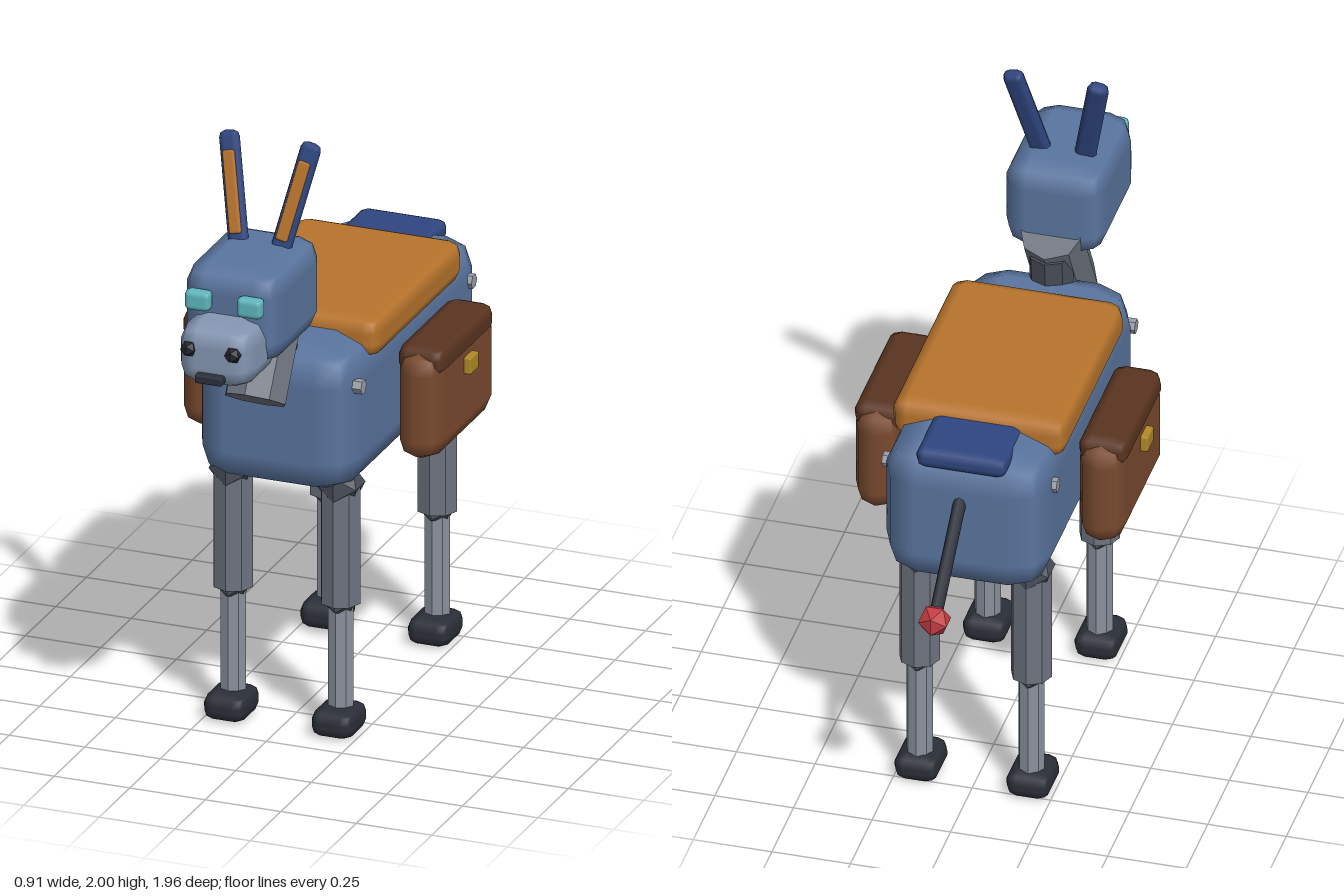
import * as THREE from 'three';
import { RoundedBoxGeometry } from 'three/addons/geometries/RoundedBoxGeometry.js';

const mat = (color, flat = false) => new THREE.MeshStandardMaterial({ color, flatShading: flat });
const M = {
  blue: mat(0x5a759f), muzzle: mat(0x8597b3), navy: mat(0x2f4680), orange: mat(0xb8742c),
  brown: mat(0x7a4a2e), darkBrown: mat(0x5a3420), gold: mat(0xb08a28), teal: mat(0x5fb8bf),
  steel: mat(0x6e7480, true), lightSteel: mat(0x8b929e, true), darkSteel: mat(0x4a4f5a, true),
  black: mat(0x2b2f38), coal: mat(0x23262d, true), bolt: mat(0x9aa0aa, true), red: mat(0xc23b40, true),
};

export function createModel() {
  const model = new THREE.Group();
  model.name = 'robotDonkey';

  const add = (name, geometry, material, pos, parent = model) => {
    const mesh = new THREE.Mesh(geometry, material);
    mesh.name = name;
    mesh.position.set(...pos);
    parent.add(mesh);
    return mesh;
  };
  const box = (name, size, r, material, pos, parent) =>
    add(name, new RoundedBoxGeometry(...size, 1, r), material, pos, parent);
  const rod = (name, r, h, material, pos, parent, sides = 8) =>
    add(name, new THREE.CylinderGeometry(r, r, h, sides), material, pos, parent);
  const ball = (name, r, material, pos, parent) =>
    add(name, new THREE.IcosahedronGeometry(r, 0), material, pos, parent);

  // Torso, blanket and rump pad
  box('body', [0.53, 0.49, 1.14], 0.12, M.blue, [0, 1.062, -0.08]);
  box('blanket', [0.555, 0.137, 0.735], 0.05, M.orange, [0, 1.285, -0.083]);
  box('rumpPad', [0.29, 0.07, 0.23], 0.03, M.navy, [0, 1.287, -0.53]);

  // Neck leaning back, with a darker core beneath it
  rod('neck', 0.1, 0.34, M.steel, [0, 1.318, 0.505]).rotation.x = -0.53;
  rod('neckCore', 0.07, 0.22, M.darkSteel, [0, 1.29, 0.42]).rotation.x = -0.12;

  // Head
  const head = new THREE.Group();
  head.name = 'head';
  model.add(head);
  box('skull', [0.324, 0.313, 0.425], 0.08, M.blue, [0, 1.532, 0.617], head);
  box('muzzle', [0.25, 0.205, 0.3], 0.07, M.muzzle, [0, 1.445, 0.808], head);
  box('mouth', [0.09, 0.028, 0.04], 0.006, M.black, [0, 1.385, 0.96], head);

  for (const s of [-1, 1]) {
    ball('nostril', 0.027, M.coal, [s * 0.073, 1.472, 0.955], head);
    box('eye', [0.085, 0.066, 0.05], 0.018, M.teal, [s * 0.086, 1.59, 0.842], head);

    // Ear with coloured inner strip
    const ear = new THREE.Group();
    ear.name = 'ear';
    ear.position.set(s * 0.103, 1.83, 0.51);
    ear.rotation.set(-0.27, 0, -s * 0.2);
    head.add(ear);
    box('outerEar', [0.068, 0.36, 0.045], 0.022, M.navy, [0, 0, 0], ear);
    box('innerEar', [0.04, 0.26, 0.02], 0.008, M.orange, [0, -0.01, 0.02], ear);

    // Saddlebag with flap and buckle
    const bag = new THREE.Group();
    bag.name = 'saddlebag';
    bag.position.set(s * 0.357, 0, -0.085);
    model.add(bag);
    box('pouch', [0.15, 0.365, 0.525], 0.073, M.brown, [0, 1.03, 0], bag);
    box('flap', [0.158, 0.1, 0.45], 0.04, M.darkBrown, [0, 1.172, 0], bag);
    box('buckle', [0.03, 0.055, 0.07], 0.006, M.gold, [s * 0.083, 1.103, 0], bag);

    // Side bolts
    for (const z of [0.39, -0.515])
      rod('bolt', 0.024, 0.05, M.bolt, [s * 0.253, 1.18, z], model, 6).rotation.z = Math.PI / 2;

    // Legs
    for (const z of [0.33, -0.46]) {
      const leg = new THREE.Group();
      leg.name = z > 0 ? 'frontLeg' : 'backLeg';
      leg.position.set(s * 0.178, 0, z);
      model.add(leg);
      ball('hip', 0.077, M.darkSteel, [0, 0.822, 0], leg);
      rod('upperLeg', 0.065, 0.39, M.steel, [0, 0.625, 0], leg);
      ball('knee', 0.06, M.darkSteel, [0, 0.44, 0], leg);
      rod('lowerLeg', 0.042, 0.36, M.lightSteel, [0, 0.25, 0], leg);
      box('hoof', [0.142, 0.09, 0.17], 0.038, M.black, [0, 0.045, 0.015], leg);
    }
  }

  // Tail rod with faceted tip
  const from = new THREE.Vector3(0, 1.17, -0.62), to = new THREE.Vector3(0, 0.905, -0.935);
  const tail = rod('tail', 0.021, from.distanceTo(to), M.black, [0, 1.0375, -0.7775]);
  tail.quaternion.setFromUnitVectors(new THREE.Vector3(0, 1, 0), from.clone().sub(to).normalize());
  ball('tailTip', 0.053, M.red, to.toArray());

  return model;
}
